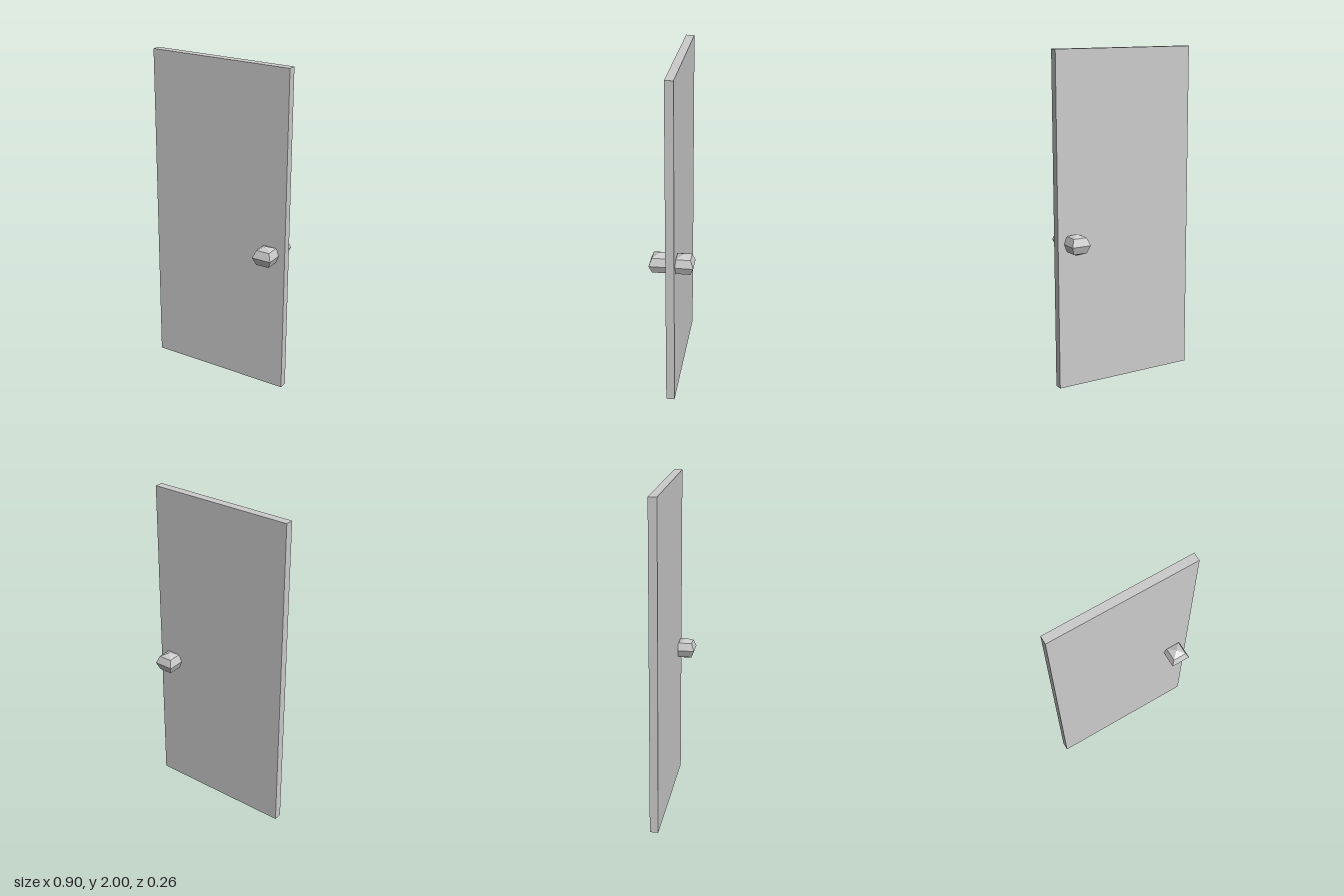
import * as THREE from 'three';

export function createModel() {
  const group = new THREE.Group();
  const material = new THREE.MeshStandardMaterial({ color: 0xcccccc, flatShading: true });

  // Door slab
  const panel = new THREE.Mesh(new THREE.BoxGeometry(0.9, 2, 0.05), material);
  panel.name = 'doorPanel';
  panel.position.y = 1;
  group.add(panel);

  // Faceted square knobs, one on each side, partly sunk into the slab
  const knobGeometry = new THREE.SphereGeometry(1, 4, 4);
  knobGeometry.rotateY(Math.PI / 4);
  knobGeometry.scale(0.084, 0.065, 0.084);
  for (const side of [1, -1]) {
    const knob = new THREE.Mesh(knobGeometry, material);
    knob.name = side > 0 ? 'frontKnob' : 'backKnob';
    knob.position.set(0.351, 0.882, side * 0.069);
    group.add(knob);
  }

  return group;
}
